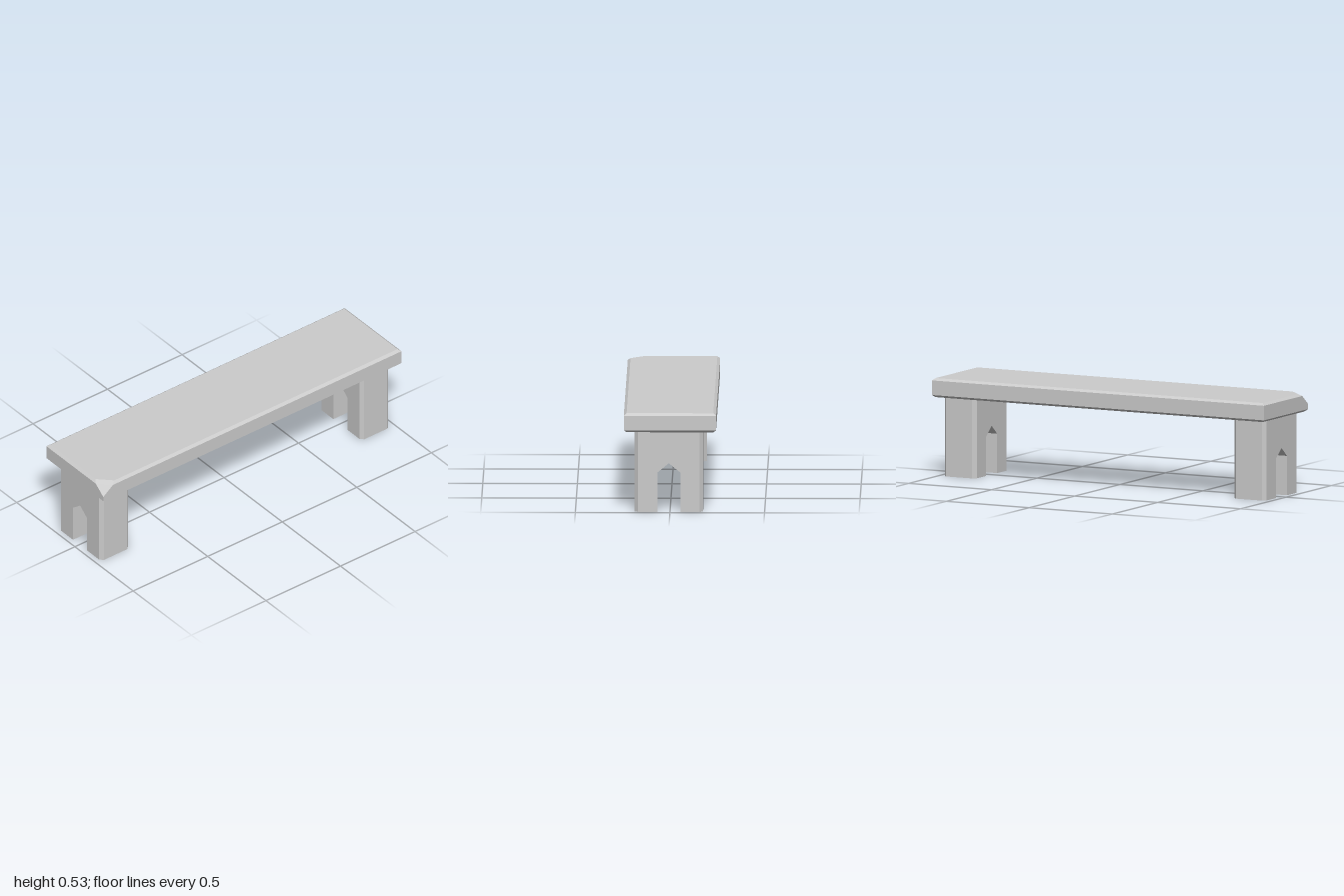
import * as THREE from 'three';
import { ConvexGeometry } from 'three/addons/geometries/ConvexGeometry.js';

const material = new THREE.MeshStandardMaterial({ color: 0xcccccc, flatShading: true });

// Chamfered plank with one chipped front corner
function seatGeometry() {
  const X = 1, Z = 0.244, c = 0.015;
  const points = [];
  const add = (x, y, z) => points.push(new THREE.Vector3(x, y, z));
  for (const [y, inset, chip] of [[0.428, c, 0], [0.44, 0, 0], [0.518, 0, 0.065], [0.53, c, 0.07]]) {
    const x = X - inset, z = Z - inset;
    add(x, y, z);
    add(x, y, -z);
    add(-x, y, -z);
    add(-x, y, z - chip);
    if (chip) add(-x + chip, y, z);
  }
  add(-X, 0.468, Z); // foot of the chip on the corner edge
  return new ConvexGeometry(points);
}

// Slab leg with a pointed opening and chamfered upright corners
function legGeometry() {
  const half = 0.181, top = 0.43, depth = 0.193, chamfer = 0.018;
  const profile = new THREE.Shape([
    [-half, 0], [-0.061, 0], [-0.061, 0.21], [0, 0.26], [0.061, 0.21],
    [0.061, 0], [half, 0], [half, top], [-half, top],
  ].map(([x, y]) => new THREE.Vector2(x, y)));
  const geometry = new THREE.ExtrudeGeometry(profile, { depth, steps: 3, bevelEnabled: false });

  // Slide the inner layers towards the ends and pull in the end corners
  const p = geometry.attributes.position;
  const layers = [0, chamfer, depth - chamfer, depth];
  for (let i = 0; i < p.count; i++) {
    const layer = Math.round((p.getZ(i) / depth) * 3);
    const x = p.getX(i);
    p.setZ(i, layers[layer] - depth / 2);
    if ((layer === 0 || layer === 3) && Math.abs(x) > half - 0.001) {
      p.setX(i, Math.sign(x) * (half - chamfer));
    }
  }
  geometry.rotateY(Math.PI / 2);
  geometry.computeVertexNormals();
  return geometry;
}

export function createModel() {
  const bench = new THREE.Group();
  bench.name = 'bench';

  const seat = new THREE.Mesh(seatGeometry(), material);
  seat.name = 'seat';
  bench.add(seat);

  const geometry = legGeometry();
  for (const side of [-1, 1]) {
    const leg = new THREE.Mesh(geometry, material);
    leg.name = side > 0 ? 'leftLeg' : 'rightLeg';
    leg.position.set(side * 0.873, 0, 0.006);
    bench.add(leg);
  }
  return bench;
}
